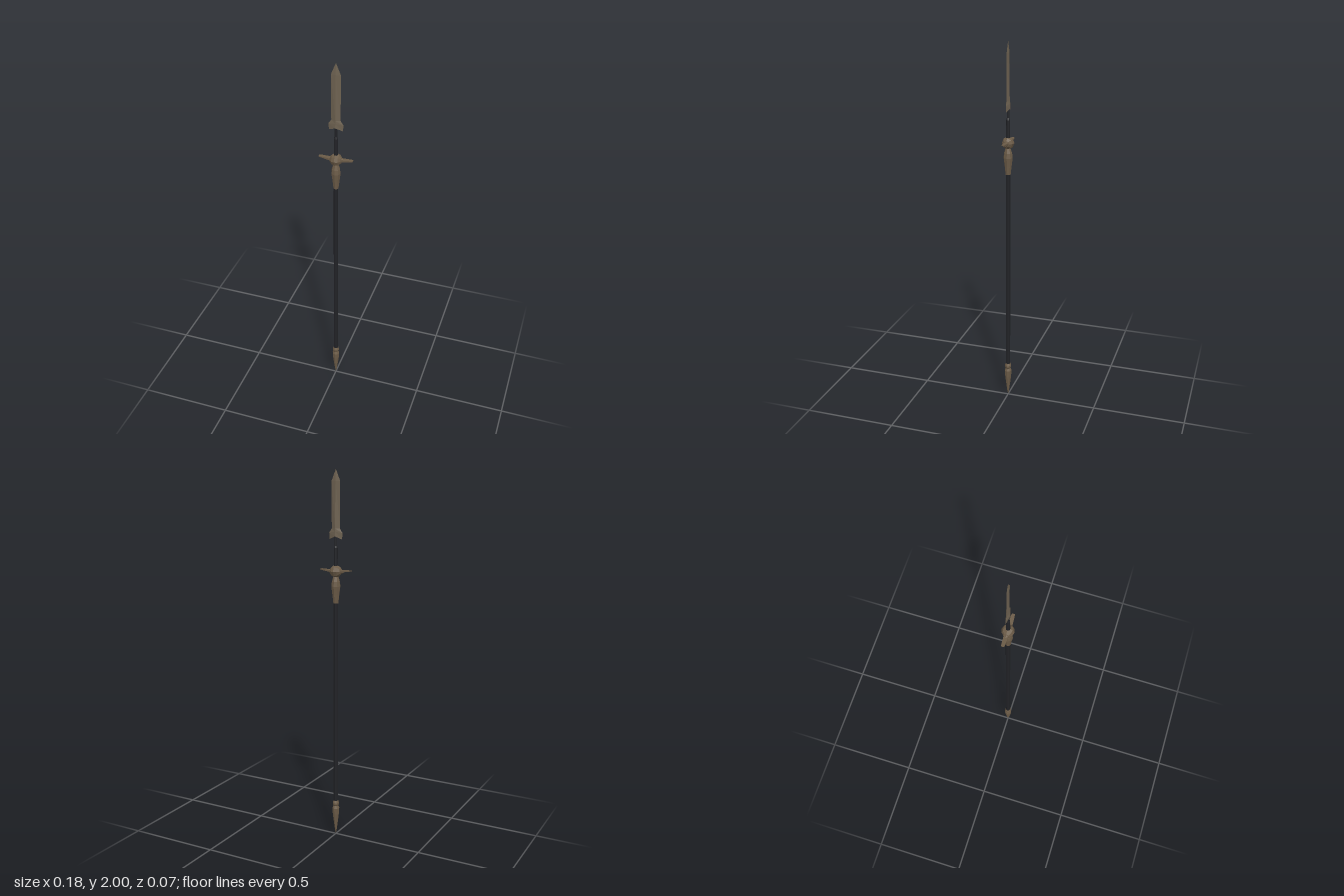
import * as THREE from 'three';

const mat = (name, color) => {
  const m = new THREE.MeshStandardMaterial({ color });
  m.name = name;
  return m;
};

export function createModel() {
  const bronze = mat('bronze', 0x6b5b47);
  const bladeMetal = mat('bladeMetal', 0x6e6251);
  const darkWood = mat('darkWood', 0x212226);
  const model = new THREE.Group();
  model.name = 'spear';

  const add = (name, geo, material) => {
    const flat = geo.index ? geo.toNonIndexed() : geo;
    flat.computeVertexNormals();
    const mesh = new THREE.Mesh(flat, material);
    mesh.name = name;
    model.add(mesh);
    return mesh;
  };

  // Eight-sided turned part from [radius, y] pairs, listed bottom to top
  const turned = (name, profile, material) =>
    add(name, new THREE.LatheGeometry(profile.map(([r, y]) => new THREE.Vector2(r, y)), 8), material);

  turned('buttSpike', [[0, 0], [0.006, 0.03], [0.018, 0.12], [0.02, 0.155], [0.014, 0.17],
    [0.018, 0.178], [0.018, 0.188], [0.013, 0.2], [0, 0.2]], bronze);
  turned('shaft', [[0.0125, 0.19], [0.0125, 1.33]], darkWood);
  turned('socket', [[0, 1.31], [0.014, 1.31], [0.019, 1.355], [0.025, 1.4], [0.022, 1.425],
    [0.014, 1.45], [0, 1.45]], bronze);
  turned('neck', [[0.0115, 1.49], [0.0105, 1.6], [0.007, 1.61], [0.007, 1.68]], darkWood);

  // Faceted ball at the guard, poles toward the wings
  const ball = new THREE.SphereGeometry(0.033, 8, 6);
  ball.rotateZ(Math.PI / 2);
  ball.translate(0, 1.479, 0);
  add('guardBall', ball, bronze);

  // Tapered guard wings with a small root collar, repeated on both sides
  for (const [side, turn] of [['left', 0], ['right', Math.PI]]) {
    const wing = new THREE.BoxGeometry(1, 2, 2);
    const p = wing.attributes.position;
    for (let i = 0; i < p.count; i++) {
      const t = p.getX(i) + 0.5;
      p.setXYZ(i, 0.02 + 0.069 * t,
        1.479 + 0.007 * t + p.getY(i) * (0.006 - 0.0035 * t),
        p.getZ(i) * (0.013 - 0.005 * t));
    }
    add(side + 'GuardWing', wing, bronze).rotation.y = turn;

    const collar = new THREE.CylinderGeometry(0.008, 0.012, 0.014, 8);
    collar.rotateZ(-Math.PI / 2);
    collar.translate(0.034, 1.479, 0);
    add(side + 'GuardCollar', collar, bronze).rotation.y = turn;
  }

  // Blade: rows of [edge x, edge y, ridge y, ridge half thickness], tip to barbs
  const rows = [[0, 2, 2, 0], [0.025, 1.94, 1.94, 0.005], [0.024, 1.7, 1.7, 0.009],
    [0.039, 1.677, 1.685, 0.01], [0.036, 1.645, 1.66, 0.011]];
  const ring = rows.map(([x, ye, yr, t]) => [[x, ye, 0], [0, yr, t], [-x, ye, 0], [0, yr, -t]]);
  const verts = [];
  for (let r = 0; r < ring.length - 1; r++) {
    for (let k = 0; k < 4; k++) {
      const n = (k + 1) % 4;
      const a = ring[r][k], b = ring[r][n], c = ring[r + 1][n], d = ring[r + 1][k];
      if (r > 0) verts.push(...a, ...b, ...d);
      verts.push(...b, ...c, ...d);
    }
  }
  // Underside of the barbs
  const [leftBarb, front, rightBarb, back] = ring[ring.length - 1];
  verts.push(...leftBarb, ...front, ...back, ...front, ...rightBarb, ...back);
  const blade = new THREE.BufferGeometry();
  blade.setAttribute('position', new THREE.Float32BufferAttribute(verts, 3));
  add('blade', blade, bladeMetal);

  return model;
}
